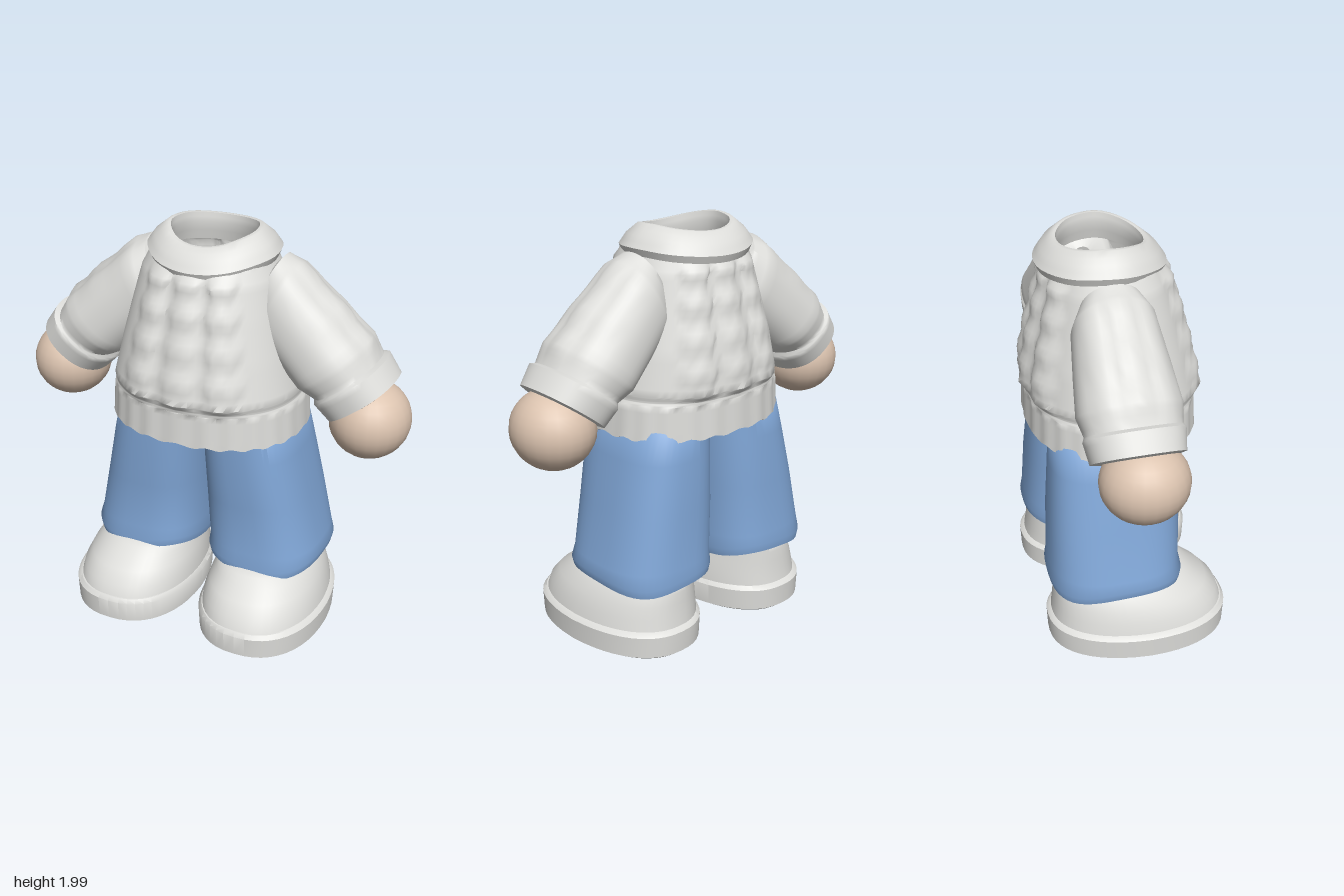
import * as THREE from 'three';
import { toCreasedNormals } from 'three/addons/utils/BufferGeometryUtils.js';

const mat = (name, color, side = THREE.DoubleSide) => {
  const m = new THREE.MeshStandardMaterial({ color, side });
  m.name = name;
  return m;
};

// Insert linear in-between rows into a list of number rows
function subdivide(rows, n) {
  const out = [];
  for (let i = 0; i < rows.length - 1; i++)
    for (let k = 0; k < n; k++)
      out.push(rows[i].map((v, j) => THREE.MathUtils.lerp(v, rows[i + 1][j], k / n)));
  out.push(rows[rows.length - 1]);
  return out;
}

// Skin closed rings; point(row, angle) gives [x, y, z]; side -1 mirrors in x
function loft(rows, seg, point, side = 1, crease = 0.9) {
  const pos = [], idx = [];
  rows.forEach((row, r) => {
    for (let s = 0; s < seg; s++) {
      const [x, y, z] = point(row, (s / seg) * Math.PI * 2);
      pos.push(x * side, y, z);
      if (r === rows.length - 1) continue;
      const a = r * seg + s, b = r * seg + ((s + 1) % seg), c = a + seg, d = b + seg;
      if (side > 0) idx.push(a, c, b, b, c, d);
      else idx.push(a, b, c, b, d, c);
    }
  });
  const g = new THREE.BufferGeometry();
  g.setAttribute('position', new THREE.Float32BufferAttribute(pos, 3));
  g.setIndex(idx);
  return toCreasedNormals(g, crease);
}

// Rounded-square unit outline
const round = (a, e) => {
  const f = (v) => Math.sign(v) * Math.pow(Math.abs(v), 2 / e);
  return [f(Math.cos(a)), f(Math.sin(a))];
};

// Height of a braided cable, d across and t along it
function cable(d, t, halfWidth) {
  const w = halfWidth * (1 + 0.2 * Math.sin(t * 42));
  const k = 1 - (d / w) ** 2;
  return k <= 0 ? 0 : Math.sqrt(k) * (0.78 + 0.22 * Math.sin(t * 42 + Math.abs(d) * 35));
}

// Ring of [y, xMin, xMax, zMin, zMax]
const slab = (e, taper = 0) => ([y, x0, x1, z0, z1], a) => {
  const [u, v] = round(a, e);
  const k = 1 - taper * Math.max(0, -v);
  return [(x0 + x1) / 2 + ((x1 - x0) / 2) * u * k, y, (z0 + z1) / 2 + ((z1 - z0) / 2) * v];
};

export function createModel() {
  const knit = mat('light grey', 0xdededb);
  const denim = mat('denim blue', 0x80a6d6);
  const skin = mat('skin', 0xdcc4b0, THREE.FrontSide);
  const model = new THREE.Group();
  model.name = 'clothedBody';
  const add = (name, geo, material) => {
    const m = new THREE.Mesh(geo, material);
    m.name = name;
    model.add(m);
    return m;
  };

  // Sweater body: y, half width, front z, back z, cable strength
  const body = subdivide([
    [1.10, 0.40, 0.29, -0.35, 0], [1.05, 0.44, 0.34, -0.40, 0], [1.06, 0.475, 0.37, -0.435, 0],
    [1.22, 0.465, 0.365, -0.43, 0], [1.24, 0.455, 0.365, -0.425, 0.2], [1.27, 0.46, 0.375, -0.435, 1],
    [1.45, 0.42, 0.335, -0.41, 1], [1.65, 0.37, 0.28, -0.36, 1], [1.80, 0.33, 0.235, -0.325, 1],
    [1.88, 0.29, 0.20, -0.30, 0], [1.93, 0.24, 0.15, -0.26, 0],
  ], 6);
  add('sweaterBody', loft(body, 120, ([y, hx, zf, zb, amp], a) => {
    const [u, v] = round(a, 2.3);
    const x = hx * u;
    let z = (zf + zb) / 2 + ((zf - zb) / 2) * v;
    const k = hx / 0.44;
    for (const c of [-0.21, 0, 0.21])
      z += Math.sign(v) * amp * 0.032 * cable(x - c * k, y, 0.08 * k) * Math.min(1, Math.abs(v) * 1.5);
    const rib = amp ? 0 : 0.004 * Math.cos(a * 24);
    return [x * (1 + rib), y + (y < 1.07 ? rib * 2 : 0), z + v * rib];
  }), knit);

  // Folded collar, dipping at front and back: y, radius
  const collar = subdivide([
    [1.87, 0.26], [1.865, 0.30], [1.90, 0.315], [1.95, 0.28], [1.995, 0.225], [1.995, 0.205],
    [1.95, 0.20], [1.86, 0.22],
  ], 2);
  add('collar', loft(collar, 40, ([y, r], a) => {
    const s = Math.sin(a);
    const fold = 1 + 0.012 * Math.sin(a * 7);
    return [Math.cos(a) * r * fold, y - 0.04 * s * s * (s > 0 ? 1.1 : 0.6), -0.065 + s * r * 0.96];
  }), knit);

  for (const side of [1, -1]) {
    const label = side > 0 ? 'left' : 'right';

    // Sleeve: outer edge x, y, inner edge x, y, half depth, cable strength
    const sleeve = subdivide([
      [0.26, 1.80, 0.24, 1.72, 0.04, 0], [0.34, 1.89, 0.20, 1.60, 0.14, 0],
      [0.41, 1.85, 0.24, 1.50, 0.19, 0.7], [0.60, 1.68, 0.34, 1.40, 0.215, 1],
      [0.75, 1.54, 0.45, 1.29, 0.235, 1], [0.81, 1.46, 0.53, 1.25, 0.215, 0],
      [0.84, 1.465, 0.53, 1.22, 0.225, 0], [0.90, 1.38, 0.60, 1.15, 0.21, 0],
      [0.88, 1.355, 0.63, 1.165, 0.18, 0], [0.80, 1.34, 0.68, 1.25, 0.08, 0],
    ], 4);
    add(label + 'Sleeve', loft(sleeve, 56, ([ox, oy, ix, iy, hz, amp], a) => {
      const [u, v] = round(a, 2.3);
      const z = -hz * v;
      const lift = u > 0 ? amp * (0.024 * cable(z, oy, 0.07)
        + 0.012 * (cable(z - 0.13, oy, 0.05) + cable(z + 0.13, oy, 0.05))) : 0;
      return [(ox + ix) / 2 + ((ox - ix) / 2) * u + lift * 0.7,
        (oy + iy) / 2 + ((oy - iy) / 2) * u + lift * 0.7, -0.085 + z];
    }, side), knit);

    // Hand
    const hand = add(label + 'Hand', new THREE.SphereGeometry(1, 24, 16), skin);
    hand.scale.set(0.192, 0.187, 0.203);
    hand.position.set(side * 0.79, 1.167, -0.065);

    // Trouser leg with a rolled hem and an open, turned-in waist
    const leg = [
      [0.37, 0.08, 0.54, -0.34, 0.17], [0.335, 0.06, 0.56, -0.38, 0.21], [0.34, 0.03, 0.59, -0.41, 0.235],
      [0.38, 0.02, 0.60, -0.415, 0.24], [0.44, 0.025, 0.585, -0.405, 0.225], [0.70, 0.015, 0.53, -0.395, 0.235],
      [0.95, 0.008, 0.475, -0.375, 0.25], [1.10, 0.005, 0.44, -0.36, 0.25], [1.12, 0.035, 0.41, -0.33, 0.22],
      [1.05, 0.045, 0.40, -0.32, 0.21],
    ];
    const legPoint = slab(2.7);
    add(label + 'TrouserLeg', loft(leg, 48, (row, a) => {
      const p = legPoint(row, a);
      if (row[0] < 0.4) p[1] += 0.012 * Math.sin(a * 3 + 1);
      return p;
    }, side), denim);

    // Shoe sole
    const sole = [
      [0.005, 0.34, 0.35, 0.02, 0.03], [0.005, 0.06, 0.63, -0.40, 0.44], [0.02, 0.035, 0.655, -0.42, 0.465],
      [0.125, 0.03, 0.66, -0.425, 0.47], [0.145, 0.045, 0.64, -0.405, 0.455], [0.15, 0.08, 0.60, -0.37, 0.42],
    ];
    add(label + 'Sole', loft(sole, 48, slab(2.35, 0.1), side, 0.7), knit);

    // Shoe upper with a raised tongue
    const upper = [
      [0.13, 0.045, 0.64, -0.405, 0.455], [0.20, 0.05, 0.625, -0.395, 0.43], [0.26, 0.065, 0.60, -0.39, 0.375],
      [0.31, 0.08, 0.57, -0.385, 0.31], [0.345, 0.09, 0.54, -0.38, 0.27], [0.365, 0.13, 0.50, -0.35, 0.235],
      [0.365, 0.20, 0.44, -0.25, 0.15], [0.36, 0.31, 0.33, -0.06, -0.04],
    ];
    add(label + 'ShoeUpper', loft(upper, 48, slab(2.3, 0.08), side), knit);
  }
  return model;
}
